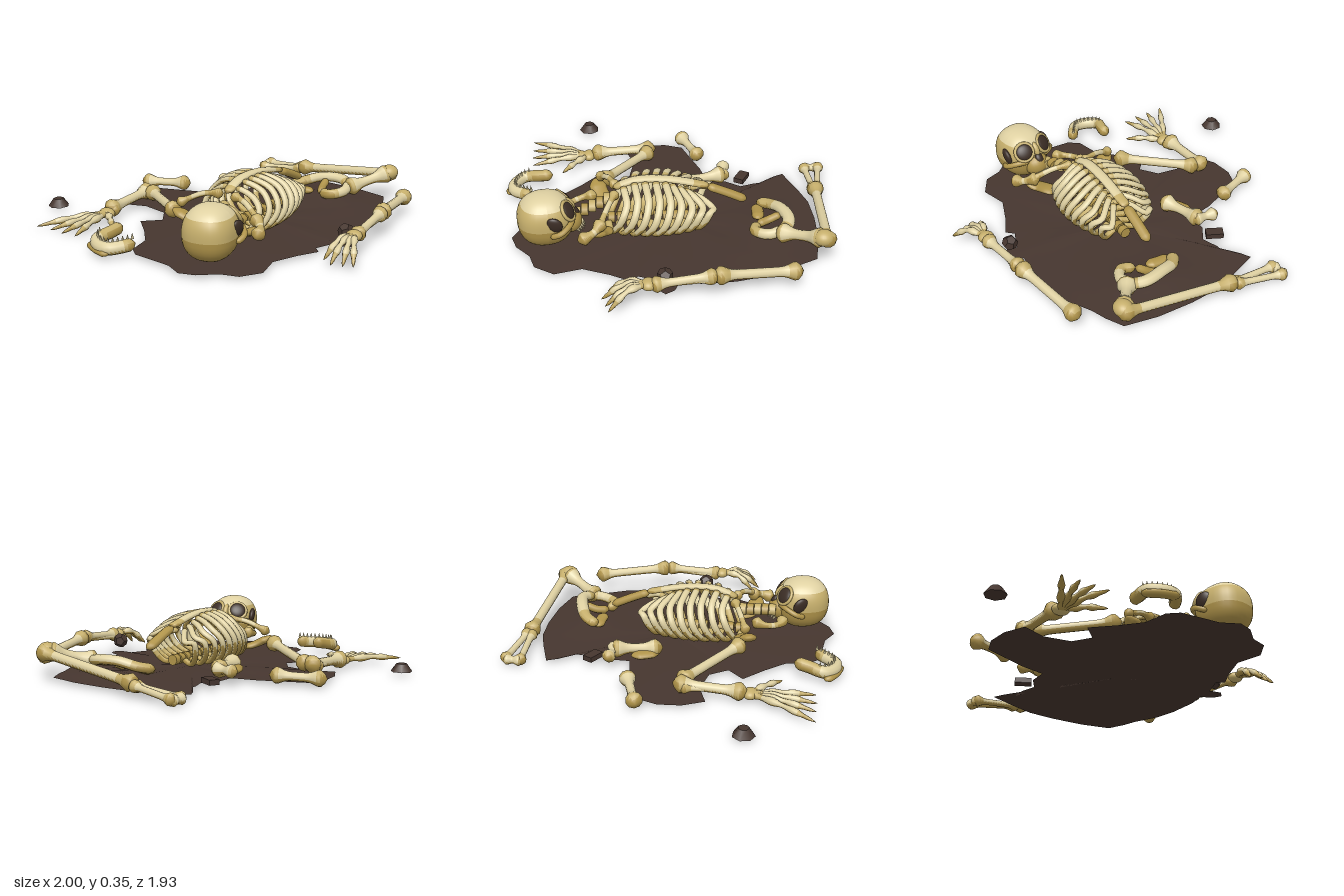
import * as THREE from 'three';
import { mergeVertices } from 'three/addons/utils/BufferGeometryUtils.js';

const material = (name, color) => {
  const m = new THREE.MeshStandardMaterial({ color, side: THREE.DoubleSide });
  m.name = name;
  return m;
};
const pale = material('pale bone', 0xdfd1a2);
const tan = material('tan bone', 0xc6af6c);
const ochre = material('ochre bone', 0xb0944a);
const brown = material('earth brown cloth', 0x46362f);
const dark = material('dark hollow', 0x3b2d25);

export function createModel() {
  const model = new THREE.Group();
  const group = (name, parent = model) => {
    const g = new THREE.Group();
    g.name = name;
    parent.add(g);
    return g;
  };
  const add = (parent, name, geo, mat, pos = [0, 0, 0], scale = [1, 1, 1]) => {
    const m = new THREE.Mesh(geo, mat);
    m.name = name;
    m.position.set(...pos);
    m.scale.set(...scale);
    parent.add(m);
    return m;
  };

  // Tube whose radius follows radius(t, length); without mat it gets a pale shaft, stained ends and underside
  function rod(parent, name, pts, radius, { seg = 28, sides = 10, sy = 1, sz = 1, ends = [0.12, 0.12], mat } = {}) {
    const curve = new THREE.CatmullRomCurve3(pts.map(p => new THREE.Vector3(...p)));
    const len = curve.getLength();
    let geo = new THREE.TubeGeometry(curve, seg, 1, sides, false);
    const p = geo.attributes.position, v = new THREE.Vector3();
    for (let i = 0; i < p.count; i++) {
      const t = Math.floor(i / (sides + 1)) / seg;
      const c = curve.getPointAt(t);
      v.fromBufferAttribute(p, i).sub(c).multiplyScalar(radius(t, len));
      p.setXYZ(i, c.x + v.x, c.y + v.y * sy, c.z + v.z * sz);
    }
    geo.deleteAttribute('uv');
    geo.deleteAttribute('normal');
    geo = mergeVertices(geo, 1e-5);
    geo.computeVertexNormals();
    if (mat) return add(parent, name, geo, mat);
    const idx = geo.index.array, lists = [[], [], []], up = geo.attributes.normal;
    for (let f = 0; f < idx.length; f += 3) {
      const u = (Math.floor(f / (sides * 6)) + 0.5) / seg;
      const ny = (up.getY(idx[f]) + up.getY(idx[f + 1]) + up.getY(idx[f + 2])) / 3;
      const isEnd = u < ends[0] || u > 1 - ends[1];
      const nearEnd = u < ends[0] + 0.06 || u > 1 - ends[1] - 0.06;
      const kind = ny < -0.3 ? 2 : isEnd ? (ny > 0.5 ? 1 : 2) : nearEnd ? 1 : 0;
      lists[kind].push(idx[f], idx[f + 1], idx[f + 2]);
    }
    geo.setIndex(lists.flat());
    let start = 0;
    lists.forEach((list, k) => {
      geo.addGroup(start, list.length, k);
      start += list.length;
    });
    return add(parent, name, geo, [pale, tan, ochre]);
  }
  const rounded = r => (t, len) => r * Math.sqrt(Math.min(1, Math.min(t, 1 - t) * len / r));
  const knobbed = r => (t, len) => {
    const d = Math.min(t, 1 - t) * len;
    return r * (0.85 + 0.8 * Math.exp(-(((d - 1.3 * r) / (1.5 * r)) ** 2))) * Math.sqrt(Math.min(1, d / (1.3 * r)));
  };
  const bone = (parent, name, a, b, r) => rod(parent, name, [a, b], knobbed(r));
  const jointed = r => t => r * (1.1 - 0.45 * t) * (0.72 + 0.45 * Math.cos(Math.PI * 3 * t) ** 2) * Math.min(1, (1 - t) * 7);

  // Cloth: rings from the middle out to a ragged outline, with low folds and a rise under the hips
  const edge = [-.32,-.71, -.13,-.78, 0,-.82, .17,-.83, .38,-.82, .57,-.78, .62,-.68, .65,-.59, .72,-.45, .75,-.32,
    .76,-.13, .74,-.02, .81,.01, .84,.06, .8,.1, .73,.08, .68,.2, .72,.24, .66,.35, .6,.5, .64,.65, .57,.76, .47,.79,
    .38,.87, .29,.9, .19,.85, -.05,.83, -.11,.78, -.14,.64, -.24,.53, -.36,.42, -.27,.33, -.34,.23, -.5,.2, -.64,.25,
    -.7,.13, -.71,0, -.67,-.11, -.56,-.15, -.4,-.21, -.25,-.24, -.25,-.35, -.19,-.44, -.22,-.53, -.22,-.62, -.29,-.65];
  const n = edge.length / 2, rings = 9, cx = 0.15, cz = -0.05, verts = [], faces = [];
  for (let r = 0; r <= rings; r++) {
    for (let i = 0; i < n; i++) {
      const t = r / rings, dx = edge[2 * i] - cx, dz = edge[2 * i + 1] - cz;
      const x = cx + dx * t, z = cz + dz * t;
      const fold = 0.004 * Math.sin(Math.PI * t) * (1 + Math.sin(7 * Math.atan2(dz, dx)));
      const rise = 0.035 * Math.exp(-(((x - 0.3) / 0.2) ** 2) - ((z + 0.55) / 0.12) ** 2);
      verts.push(x, 0.024 + fold + rise, z);
      if (r === rings) continue;
      const j = (i + 1) % n, a = r * n + i, b = r * n + j;
      if (r > 0) faces.push(a, b, a + n);
      faces.push(b, b + n, a + n);
    }
  }
  const cloth = new THREE.BufferGeometry();
  cloth.setAttribute('position', new THREE.Float32BufferAttribute(verts, 3));
  cloth.setIndex(faces.map((f, i) => faces[i - (i % 3) + 2 - (i % 3)]));
  cloth.computeVertexNormals();
  add(model, 'cloth', cloth, brown);

  // Stones and scraps
  const lump = new THREE.DodecahedronGeometry(1, 0);
  add(model, 'looseStone', new THREE.CylinderGeometry(0.03, 0.062, 0.045, 7), brown, [-0.94, 0.045, 0.485]);
  add(model, 'clothKnob', lump, brown, [0.78, 0.1, 0.06], [0.045, 0.045, 0.045]);
  add(model, 'clothScrap', new THREE.BoxGeometry(0.1, 0.03, 0.06), brown, [-0.26, 0.045, -0.45]).rotation.y = -0.5;

  // Rib cage, lying on its back
  const cage = group('ribCage');
  const mid = 0.18;
  const topAt = z => 0.32 - 0.5 * Math.max(0, 0.06 - z) ** 1.4 - 0.4 * Math.max(0, z - 0.2);
  for (let i = 0; i < 9; i++) {
    const z = -0.21 + i * 0.06;
    const w = 0.235 - 1.15 * (z - 0.05) ** 2;
    const h = topAt(z), low = Math.max(0, 0.05 - z) * 0.4;
    for (const s of [-1, 1]) {
      rod(cage, 'rib', [
        [mid + s * 0.02, 0.07, z + 0.09], [mid + s * w * 0.6, 0.052, z + 0.07], [mid + s * w * 0.95, 0.12, z + 0.03],
        [mid + s * w, 0.19, z], [mid + s * w * 0.75, h - 0.05, z - 0.02], [mid + s * w * 0.4, h - 0.012, z - 0.01 + low * 0.5],
        [mid + s * 0.02, h, z + low]], rounded(0.016), { seg: 28, sides: 8, sz: 1.35, ends: [0.3, 0] });
    }
  }
  rod(cage, 'sternum', [[mid, 0.27, 0.33], [mid, 0.32, 0.2], [mid, 0.32, 0.02], [mid, 0.27, -0.22]],
    rounded(0.032), { sy: 0.5, ends: [0.05, 0.12] });
  rod(cage, 'lowerBreastbone', [[mid, 0.27, -0.2], [mid, 0.225, -0.31], [mid, 0.17, -0.43]],
    rounded(0.032), { sy: 0.7, mat: ochre });
  const vertebra = new THREE.CylinderGeometry(0.032, 0.032, 0.04, 9).rotateX(Math.PI / 2);
  for (let i = 0; i < 11; i++) add(cage, 'vertebra', vertebra, ochre, [mid, 0.075, -0.18 + i * 0.052]);
  for (let i = 0; i < 5; i++) {
    add(cage, 'neckVertebra', vertebra, i % 2 ? ochre : tan, [mid + i * 0.022, 0.2 - i * 0.008, 0.36 + i * 0.042], [1.2, 1.1, 1]);
  }

  // Collar bones and shoulder blades
  for (const s of [-1, 1]) {
    const side = group(s > 0 ? 'leftShoulder' : 'rightShoulder');
    rod(side, 'collarBone', [[mid + s * 0.03, 0.26, 0.31], [mid + s * 0.14, 0.25, 0.35], [mid + s * 0.28, 0.18, 0.41]],
      knobbed(0.019), { ends: [0.3, 0.3] });
    rod(side, 'shoulderBlade', [[mid + s * 0.12, 0.08, 0.34], [mid + s * 0.2, 0.11, 0.4], [mid + s * 0.29, 0.16, 0.43]],
      rounded(0.05), { sy: 0.35, mat: ochre });
  }
  rod(model, 'leftShoulderSpur', [[0.4, 0.2, 0.38], [0.48, 0.17, 0.44], [0.51, 0.14, 0.52]], knobbed(0.024), { ends: [0.4, 0.4] });
  rod(model, 'rightShoulderSpur', [[0.09, 0.17, 0.42], [0.08, 0.15, 0.5], [0.13, 0.14, 0.58], [0.2, 0.15, 0.6]],
    knobbed(0.022), { ends: [0.4, 0.4] });

  // Skull, built upright and facing +z, then laid back
  const skull = group('skull');
  skull.position.set(0.35, 0.2, 0.7);
  skull.rotation.set(-0.6, Math.PI + 0.2, 0, 'YXZ');
  const ball = new THREE.SphereGeometry(1, 24, 16);
  // Bands of a slightly boxy ball, from pole angle a to b; its pole is turned to point straight up
  const band = (name, a, b, mat) => {
    const geo = new THREE.SphereGeometry(1, 32, 10, 0, Math.PI * 2, Math.PI * a, Math.PI * (b - a));
    const p = geo.attributes.position;
    const square = c => Math.sign(c) * Math.abs(c) ** 0.86;
    for (let i = 0; i < p.count; i++) p.setXYZ(i, square(p.getX(i)), square(p.getY(i)), square(p.getZ(i)));
    geo.computeVertexNormals();
    add(skull, name, geo, mat, [0, 0, 0], [0.143, 0.15, 0.155]).rotation.x = 0.6;
  };
  band('crown', 0, 0.3, pale);
  band('skullSide', 0.3, 0.52, tan);
  band('skullBase', 0.52, 1, ochre);
  add(skull, 'upperJaw', ball, ochre, [0, -0.105, 0.09], [0.075, 0.07, 0.07]);
  add(skull, 'noseBridge', ball, tan, [0, -0.02, 0.15], [0.02, 0.045, 0.025]);
  add(skull, 'noseHollow', ball, dark, [0, -0.08, 0.146], [0.025, 0.034, 0.02]);
  const rimGeo = new THREE.TorusGeometry(0.054, 0.01, 8, 20);
  for (const s of [-1, 1]) {
    add(skull, 'eyeHollow', ball, dark, [s * 0.072, -0.01, 0.136], [0.052, 0.05, 0.02]).rotation.y = s * 0.4;
    add(skull, 'eyeRim', rimGeo, tan, [s * 0.072, -0.01, 0.136]).rotation.y = s * 0.4;
    add(skull, 'templeHollow', ball, dark, [s * 0.134, 0.005, 0.04], [0.02, 0.05, 0.045]).rotation.y = s * 0.35;
    rod(skull, 'cheekBone', [[s * 0.06, -0.075, 0.125], [s * 0.125, -0.06, 0.1], [s * 0.16, -0.05, 0.04], [s * 0.14, -0.04, -0.02]],
      rounded(0.016), { mat: ochre });
  }
  const tooth = new THREE.ConeGeometry(0.01, 0.034, 5);
  for (let i = 0; i < 10; i++) {
    const a = Math.PI * (i + 0.5) / 10;
    add(skull, 'upperTooth', tooth, pale, [0.052 * Math.cos(a), -0.175, 0.09 + 0.05 * Math.sin(a)]).rotation.x = Math.PI;
  }

  // Lower jaw lying apart
  const jaw = group('lowerJaw');
  const jawPts = [[-0.255, 0.1, 0.69], [-0.27, 0.085, 0.77], [-0.29, 0.068, 0.86], [-0.23, 0.06, 0.915],
    [-0.16, 0.06, 0.92], [-0.11, 0.065, 0.865], [-0.07, 0.075, 0.8]];
  rod(jaw, 'jawBody', jawPts, rounded(0.033), { sy: 1.1, ends: [0.25, 0.1] });
  rod(jaw, 'chin', [[-0.33, 0.04, 0.87], [-0.24, 0.04, 0.92], [-0.14, 0.04, 0.945]], rounded(0.03), { sy: 0.7, mat: ochre });
  const jawCurve = new THREE.CatmullRomCurve3(jawPts.map(p => new THREE.Vector3(...p)));
  for (let i = 0; i < 12; i++) {
    const p = jawCurve.getPointAt(0.34 + i * 0.055);
    add(jaw, 'lowerTooth', tooth, pale, [p.x, p.y + 0.045, p.z - 0.012]);
  }

  // Right arm, bent out to the side
  const hand = (parent, wrist, tips, r, lift) => tips.forEach(tip => {
    const m = wrist.map((v, i) => (v + tip[i]) / 2);
    m[1] += lift;
    rod(parent, 'finger', [wrist, m, tip], jointed(r), { seg: 26, sides: 7, ends: [0.12, 0.2] });
  });
  const rightArm = group('rightArm');
  bone(rightArm, 'upperArm', [-0.12, 0.13, 0.4], [-0.55, 0.08, 0.09], 0.031);
  bone(rightArm, 'forearm', [-0.57, 0.085, 0.06], [-0.57, 0.06, 0.47], 0.032);
  bone(rightArm, 'secondForearmBone', [-0.6, 0.075, 0.1], [-0.54, 0.055, 0.46], 0.02);
  add(rightArm, 'wrist', ball, tan, [-0.56, 0.05, 0.48], [0.05, 0.03, 0.04]);
  hand(rightArm, [-0.56, 0.05, 0.48],
    [[-0.77, 0.03, 0.84], [-0.665, 0.03, 0.84], [-0.575, 0.03, 0.84], [-0.485, 0.03, 0.83], [-0.37, 0.04, 0.64]], 0.021, 0.012);

  // Left arm, stretched alongside
  const leftArm = group('leftArm');
  bone(leftArm, 'upperArm', [0.77, 0.1, -0.67], [0.86, 0.15, -0.18], 0.031);
  bone(leftArm, 'forearm', [0.855, 0.15, -0.22], [0.885, 0.12, 0.15], 0.027);
  bone(leftArm, 'secondForearmBone', [0.865, 0.135, -0.2], [0.87, 0.11, 0.14], 0.02);
  add(leftArm, 'wrist', ball, tan, [0.88, 0.125, 0.15], [0.045, 0.03, 0.04]);
  hand(leftArm, [0.88, 0.125, 0.15],
    [[0.82, 0.04, 0.36], [0.88, 0.035, 0.395], [0.94, 0.035, 0.375], [0.995, 0.04, 0.36]], 0.021, 0.045);

  // Pelvis: curved blades and a ring
  const pelvis = group('pelvis');
  rod(pelvis, 'hipBlade', [[0.07, 0.08, -0.5], [0.13, 0.1, -0.58], [0.23, 0.13, -0.63], [0.35, 0.13, -0.65], [0.43, 0.11, -0.6]],
    rounded(0.036), { sy: 0.8, ends: [0.25, 0.1] });
  rod(pelvis, 'hipFloor', [[0.08, 0.065, -0.5], [0.16, 0.07, -0.5], [0.24, 0.075, -0.49]], rounded(0.035), { sy: 0.6, mat: ochre });
  rod(pelvis, 'hipRim', [[0.41, 0.12, -0.62], [0.43, 0.1, -0.53], [0.38, 0.09, -0.46], [0.3, 0.08, -0.48]],
    rounded(0.03), { ends: [0.1, 0.4] });
  rod(pelvis, 'hipBar', [[0.26, 0.12, -0.62], [0.27, 0.09, -0.55], [0.3, 0.08, -0.48]], rounded(0.024), { mat: ochre });

  // Left leg, bent back across the top of the cloth
  const leg = group('leftLeg');
  bone(leg, 'thigh', [0.41, 0.1, -0.57], [0.6, 0.18, -0.82], 0.034);
  add(leg, 'knee', ball, tan, [0.59, 0.18, -0.8], [0.052, 0.045, 0.056]);
  bone(leg, 'shin', [0.64, 0.175, -0.82], [-0.1, 0.075, -0.87], 0.032);
  bone(leg, 'upperFork', [-0.06, 0.075, -0.88], [-0.39, 0.04, -0.94], 0.022);
  bone(leg, 'lowerFork', [-0.06, 0.07, -0.86], [-0.39, 0.035, -0.85], 0.022);
  bone(leg, 'forkEnd', [-0.365, 0.04, -0.955], [-0.365, 0.035, -0.83], 0.02);

  // Scattered bones
  const loose = group('looseBones');
  bone(loose, 'looseShin', [-0.78, 0.055, -0.1], [-0.48, 0.065, -0.21], 0.029);
  bone(loose, 'looseHip', [-0.24, 0.09, -0.36], [-0.16, 0.08, -0.06], 0.032);
  bone(loose, 'looseHipArm', [-0.36, 0.085, -0.345], [-0.19, 0.09, -0.33], 0.024);
  rod(loose, 'looseHipWing', [[-0.25, 0.06, -0.23], [-0.22, 0.06, -0.15], [-0.18, 0.06, -0.08]], rounded(0.045), { sy: 0.5, mat: ochre });

  return model;
}
